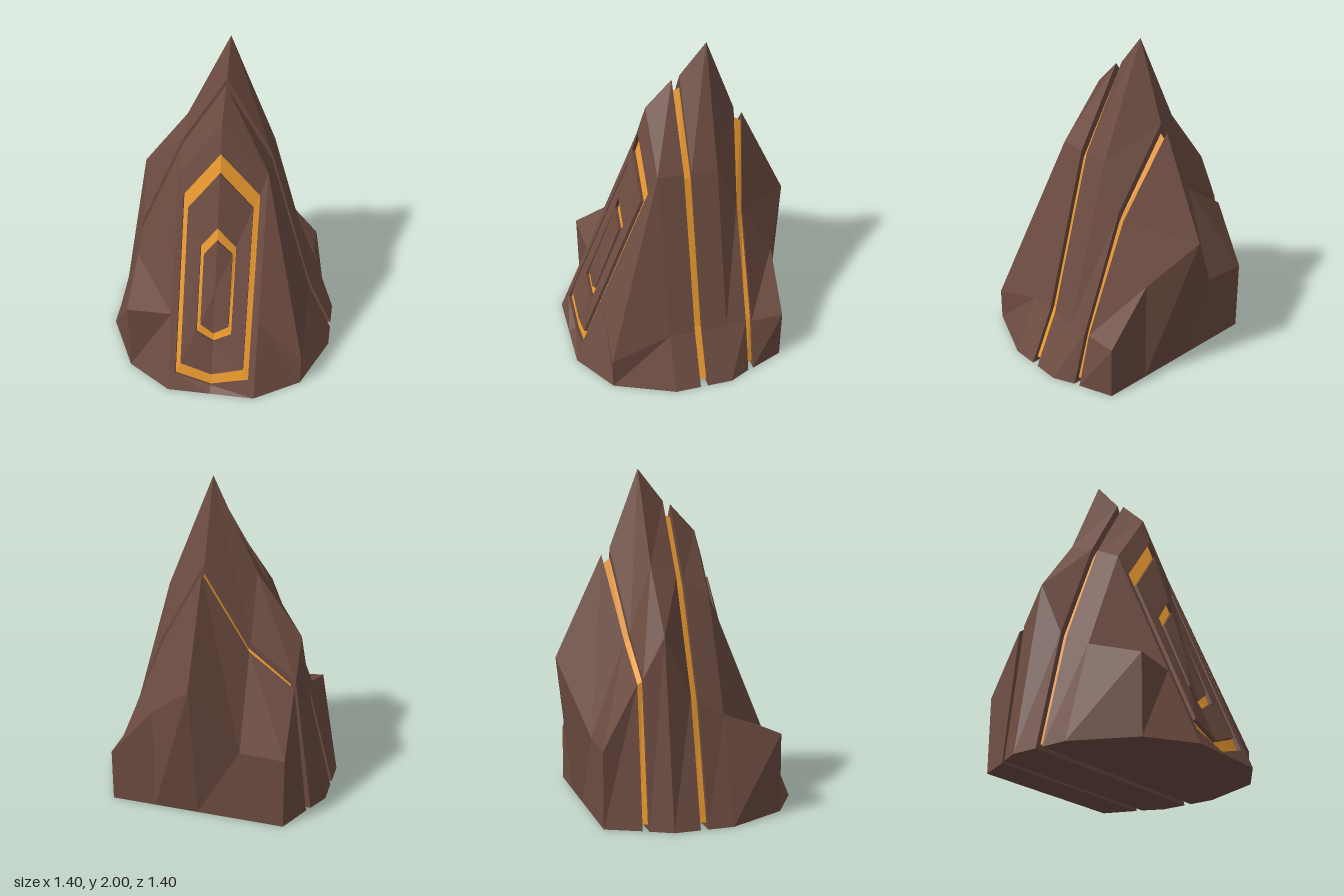
import * as THREE from 'three';

const rock = new THREE.MeshStandardMaterial({ color: 0x6d4c41, flatShading: true });
const gold = new THREE.MeshStandardMaterial({ color: 0xe8982e, flatShading: true });

// Collects flat quads (corners anticlockwise, split from first to third) into one mesh
function makeMesh(name, material, quads) {
  const pos = [];
  for (const [a, b, c, d] of quads) pos.push(...a, ...b, ...c, ...a, ...c, ...d);
  const g = new THREE.BufferGeometry();
  g.setAttribute('position', new THREE.Float32BufferAttribute(pos, 3));
  g.computeVertexNormals();
  const mesh = new THREE.Mesh(g, material);
  mesh.name = name;
  return mesh;
}

// One ridge line across x: ground, five heights, ground
function ridge(z, endL, endR, heights, peakZ = z) {
  const xs = [-0.52, -0.25, 0.01, 0.28, 0.55];
  return [
    [endL, 0, z],
    ...xs.map((x, i) => [x, heights[i], i === 2 ? peakZ : z]),
    [endR, 0, z],
  ];
}

// Skins ridge lines listed from front to back, with a flat underside
function loft(rows, { front = true, back = true, open = () => false } = {}) {
  const quads = [];
  for (let i = 0; i < rows.length - 1; i++) {
    const r = rows[i], s = rows[i + 1];
    for (let j = 0; j < 6; j++) if (!open(i, j)) quads.push([r[j + 1], s[j + 1], s[j], r[j]]);
    quads.push([r[0], s[0], s[6], r[6]]);
  }
  const cap = (row, flip) => {
    const foot = (p) => [p[0], row[0][1], row[0][2]];
    for (let j = 0; j < 6; j++) {
      const q = [foot(row[j]), foot(row[j + 1]), row[j + 1], row[j]];
      quads.push(flip ? q.reverse() : q);
    }
  };
  if (front) cap(rows[0], false);
  if (back) cap(rows[rows.length - 1], true);
  return quads;
}

// Six-sided outline on the sloping front: pointed at top and bottom
const hex = (xl, xr, [yl, peak, yr], [low, tip], zTop, zLow) => [
  [xl, yl, zTop], [0.01, peak, zTop], [xr, yr, zTop],
  [xr, low, zLow], [0.01, tip, zLow], [xl, low, zLow],
];
const sink = (h) => h.map(([x, y, z]) => [x, y - 0.008, z - 0.02]);
const band = (o, n) => o.map((p, k) => [p, n[k], n[(k + 1) % 6], o[(k + 1) % 6]]);

export function createModel() {
  const model = new THREE.Group();
  model.name = 'rockSpire';

  // Ridge lines of the three slabs
  const f0 = ridge(0.525, -0.52, 0.55, [0.47, 0.455, 0.9, 0.455, 0.2]);
  f0[2][2] = 0.508;
  f0[4][2] = 0.516;
  const f1 = ridge(0.165, -0.7, 0.7, [0.61, 1.27, 1.63, 1.32, 0.33]);
  const f2 = ridge(0.01, -0.7, 0.7, [0.7, 1.36, 1.79, 1.32, 0.33]);
  const m0 = ridge(-0.035, -0.7, 0.7, [0.73, 1.38, 1.81, 1.32, 0.33]);
  const m1 = ridge(-0.19, -0.7, 0.7, [1.08, 1.45, 2, 1.32, 0.33]);
  const m2 = ridge(-0.315, -0.635, 0.64, [0.85, 1.06, 1.54, 1.05, 0.33], -0.365);
  const b0 = ridge(-0.35, -0.615, 0.63, [0.82, 1.02, 1.5, 1.0, 0.33], -0.415);
  const b1 = ridge(-0.55, -0.52, 0.55, [0.45, 0.46, 0.9, 0.65, 0.33], -0.7);

  // Nested outlines of the front panel
  const h0 = hex(-0.25, 0.28, [1.27, 1.63, 1.32], [0, 0], 0.165, 0.7);
  const h1 = hex(-0.21, 0.24, [1.15, 1.46, 1.19], [0.1, 0.03], 0.213, 0.655);
  const h2 = hex(-0.18, 0.205, [1.08, 1.35, 1.12], [0.17, 0.1], 0.25, 0.632);
  const h3 = hex(-0.092, 0.12, [0.875, 1.02, 0.89], [0.37, 0.3], 0.342, 0.55);
  const h4 = hex(-0.07, 0.1, [0.83, 0.945, 0.85], [0.417, 0.35], 0.367, 0.53);

  // Front slab with its toe and grooved panel
  const toeL = [-0.25, 0, 0.7], toeR = [0.28, 0, 0.7];
  const frontQuads = [
    ...loft([f0, f1, f2], { front: false, open: (i, j) => i === 0 && (j === 2 || j === 3) }),
    [f0[0], toeL, f0[2], f0[1]],
    [f0[4], toeR, f0[6], f0[5]],
    [f0[0], f0[6], toeR, toeL],
    ...band(h0, h1),
    ...band(h1, sink(h1)),
  ];
  const plateQuads = [...band(sink(h2), h2), ...band(h2, h3), ...band(h3, sink(h3))];
  const mid = [0.01, 0.63, 0.453];
  const coreQuads = [
    ...band(sink(h4), h4),
    [mid, h4[1], h4[0], h4[5]],
    [mid, h4[5], h4[4], h4[3]],
    [mid, h4[3], h4[2], h4[1]],
  ];
  model.add(
    makeMesh('frontSlab', rock, frontQuads),
    makeMesh('panelPlate', rock, plateQuads),
    makeMesh('panelCore', rock, coreQuads),
    makeMesh('outerRing', gold, band(sink(h1), sink(h2))),
    makeMesh('innerRing', gold, band(sink(h3), sink(h4))),
    makeMesh('middleSlab', rock, loft([m0, m1, m2])),
    makeMesh('backSlab', rock, loft([b0, b1])),
  );

  // Glowing veins, slightly sunk between the slabs
  const inset = (row) => row.map(([x, y, z]) => [x * 0.945, y * 0.94 + 0.03, z]);
  const veins = { frontVein: [f2, m0], backVein: [m2, b0] };
  for (const [name, rows] of Object.entries(veins))
    model.add(makeMesh(name, gold, loft(rows.map(inset), { front: false, back: false })));

  return model;
}
